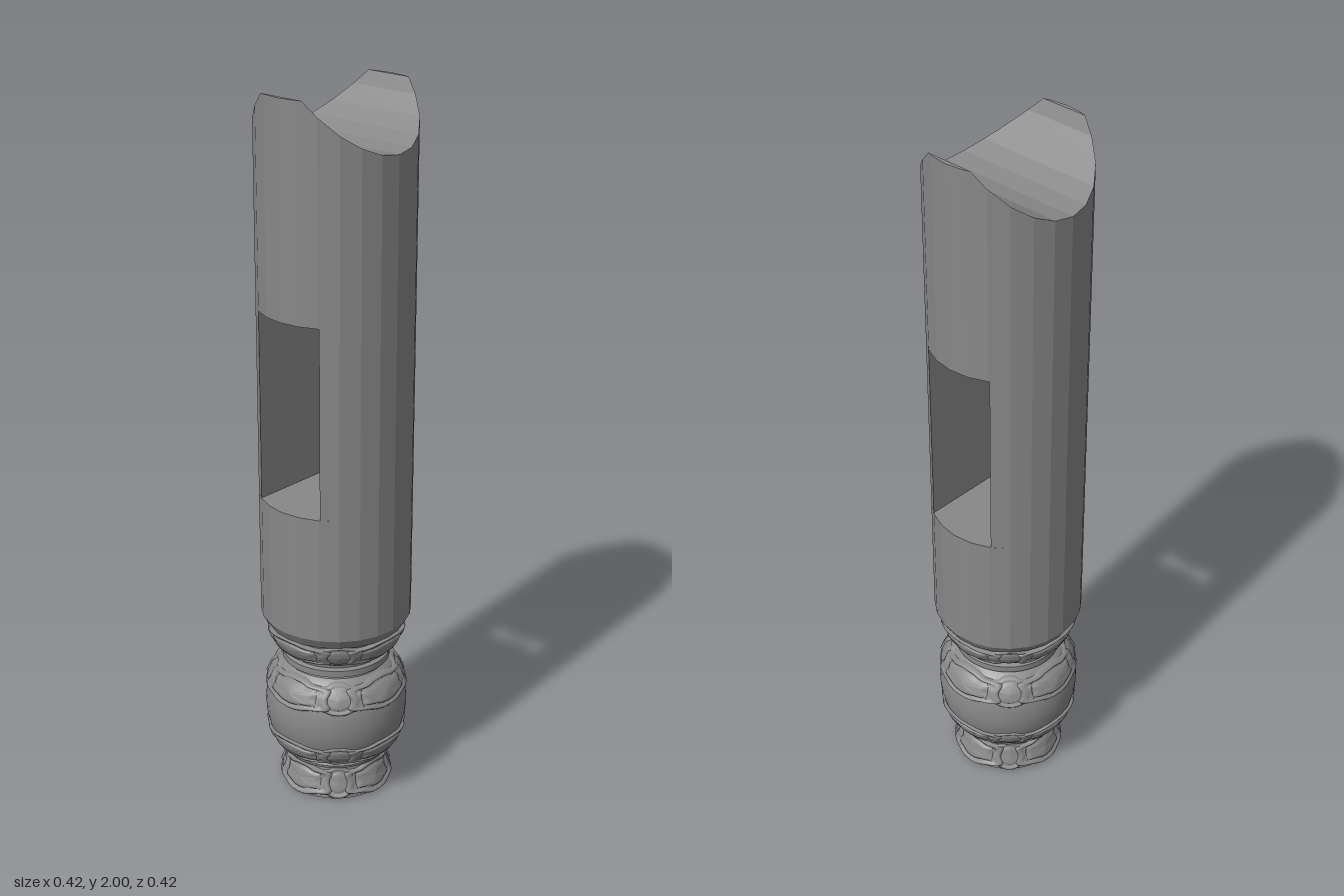
import * as THREE from 'three';
import { toCreasedNormals, mergeGeometries } from 'three/addons/utils/BufferGeometryUtils.js';

const R = 0.21, SIDES = 24;
const SLOT_X = 0.107, SLOT_BOTTOM = 0.9, SLOT_TOP = 1.43;
const COLOR = 0x888888;
const flat = new THREE.MeshStandardMaterial({ color: COLOR, flatShading: true, side: THREE.DoubleSide });
const smooth = new THREE.MeshStandardMaterial({ color: COLOR, side: THREE.DoubleSide });

// Turned baluster profile: [radius, height]
const PROFILE = [
  [0, 0], [0.15, 0], [0.148, 0.02], [0.137, 0.06], [0.133, 0.095], [0.146, 0.099], [0.148, 0.107],
  [0.144, 0.115], [0.16, 0.125], [0.178, 0.15], [0.19, 0.18], [0.198, 0.215], [0.201, 0.25],
  [0.198, 0.285], [0.191, 0.32], [0.178, 0.35], [0.16, 0.375], [0.142, 0.387], [0.14, 0.393],
  [0.152, 0.397], [0.152, 0.416], [0.14, 0.42], [0.142, 0.43], [0.165, 0.448], [0.178, 0.475],
  [0.184, 0.505], [0.186, 0.515], [0, 0.515],
];

function radiusAt(y) {
  for (let i = 2; i < PROFILE.length - 1; i++) {
    const [r0, y0] = PROFILE[i - 1], [r1, y1] = PROFILE[i];
    if (y <= y1) return r0 + (r1 - r0) * (y - y0) / (y1 - y0);
  }
  return 0.186;
}

function mesh(name, geometry, material) {
  const m = new THREE.Mesh(geometry, material);
  m.name = name;
  return m;
}

// Carved petal: concentric rings on the body, with raised centre, groove and rolled rim
function petalGeometry(angle, root, tip, halfAngle, curl, lift) {
  const rings = [[0, 0.012], [0.45, 0.011], [0.6, 0.008], [0.68, 0.002], [0.76, 0.008], [0.88, 0.011], [0.96, 0.007], [1, -0.008]];
  const N = 60, pos = [], idx = [];
  const up = tip > root;
  const power = (x, p) => Math.sign(x) * Math.pow(Math.abs(x), p);
  rings.forEach(([s, h]) => {
    for (let i = 0; i <= N; i++) {
      const t = (i / N) * Math.PI * 2;
      // broad outline with a scalloped edge
      const reach = s * (0.93 + 0.07 * Math.cos(6 * t));
      const a = angle + halfAngle * reach * power(Math.sin(t), 0.75);
      const v = 0.5 + 0.5 * reach * power(Math.cos(t), 0.7);
      const y = root + (tip - root) * v;
      const r = radiusAt(y) + h * lift + curl * v * v;
      pos.push(r * Math.sin(a), y, r * Math.cos(a));
    }
  });
  for (let j = 0; j < rings.length - 1; j++) for (let i = 0; i < N; i++) {
    const a = j * (N + 1) + i, b = a + 1, c = a + N + 1, d = c + 1;
    if (up) idx.push(a, b, c, b, d, c);
    else idx.push(a, c, b, b, c, d);
  }
  const g = new THREE.BufferGeometry();
  g.setAttribute('position', new THREE.Float32BufferAttribute(pos, 3));
  g.setIndex(idx);
  g.computeVertexNormals();
  return g;
}

// Four broad petals facing the sides, with four lower ones showing between them
function petalRing(name, root, tip, curl) {
  const parts = [];
  for (let i = 0; i < 4; i++) {
    const a = (i * Math.PI) / 2;
    parts.push(petalGeometry(a, root, tip, 0.74, curl, 1));
    parts.push(petalGeometry(a + Math.PI / 4, root, tip, 0.42, curl * 0.75, 0.6));
  }
  return mesh(name, mergeGeometries(parts), smooth);
}

// Piece of the shaft beside the slot: a circle segment extruded upwards
function slotCheek(side) {
  const edgeZ = Math.sqrt(R * R - SLOT_X * SLOT_X) - 0.001;
  const shape = new THREE.Shape();
  shape.moveTo(side * SLOT_X, -edgeZ);
  for (let i = -3; i <= 3; i++) {
    const a = (i * Math.PI * 2) / SIDES;
    shape.lineTo(side * R * Math.cos(a), R * Math.sin(a));
  }
  shape.lineTo(side * SLOT_X, edgeZ);
  const g = new THREE.ExtrudeGeometry(shape, { depth: SLOT_TOP - SLOT_BOTTOM, bevelEnabled: false });
  g.rotateX(-Math.PI / 2);
  g.translate(0, SLOT_BOTTOM, 0);
  return mesh(side > 0 ? 'leftSlotCheek' : 'rightSlotCheek', g, flat);
}

// Upper shaft, with a round saddle running across x cut into its top
function saddleGeometry() {
  const half = [];
  for (let i = -6; i <= 6; i++) {
    const a = (i * Math.PI * 2) / SIDES;
    half.push([R * Math.cos(a), R * Math.sin(a)]);
  }
  // extra points where the saddle meets the flat tips
  half.splice(2, 0, [0.068, -0.1973]);
  half.splice(half.length - 2, 0, [0.068, 0.1973]);
  const pos = [];
  const quad = (a, b, c, d) => pos.push(...a, ...b, ...c, ...a, ...c, ...d);
  const topY = (x) => Math.min(2, 2.068 - x);
  for (let i = 0; i < half.length - 1; i++) {
    const [x0, z0] = half[i], [x1, z1] = half[i + 1];
    const y0 = topY(x0), y1 = topY(x1);
    quad([x0, SLOT_TOP, z0], [x0, y0, z0], [x1, y1, z1], [x1, SLOT_TOP, z1]);
    quad([-x1, SLOT_TOP, z1], [-x1, y1, z1], [-x0, y0, z0], [-x0, SLOT_TOP, z0]);
    quad([-x0, y0, z0], [-x1, y1, z1], [x1, y1, z1], [x0, y0, z0]);
    quad([-x0, SLOT_TOP, z0], [x0, SLOT_TOP, z0], [x1, SLOT_TOP, z1], [-x1, SLOT_TOP, z1]);
  }
  const g = new THREE.BufferGeometry();
  g.setAttribute('position', new THREE.Float32BufferAttribute(pos, 3));
  g.computeVertexNormals();
  return g;
}

export function createModel() {
  const model = new THREE.Group();
  model.name = 'carvedPost';

  // Turned base
  const lathe = new THREE.LatheGeometry(PROFILE.map(([r, y]) => new THREE.Vector2(r, y)), 48);
  model.add(mesh('turnedBase', toCreasedNormals(lathe, 0.6), smooth));

  // Carved petal bands
  model.add(petalRing('footPetals', 0.096, 0.004, 0.008));
  model.add(petalRing('lowerBellyPetals', 0.118, 0.194, -0.002));
  model.add(petalRing('upperBellyPetals', 0.384, 0.3, 0));
  model.add(petalRing('collarPetals', 0.432, 0.513, 0.006));

  // Shaft
  const taper = mesh('shaftTaper', new THREE.CylinderGeometry(R, 0.192, 0.03, SIDES), flat);
  taper.position.y = 0.525;
  const lower = mesh('lowerShaft', new THREE.CylinderGeometry(R, R, SLOT_BOTTOM - 0.54, SIDES), flat);
  lower.position.y = (SLOT_BOTTOM + 0.54) / 2;
  model.add(taper, lower, slotCheek(1), slotCheek(-1));
  model.add(mesh('saddleTop', saddleGeometry(), flat));
  return model;
}
